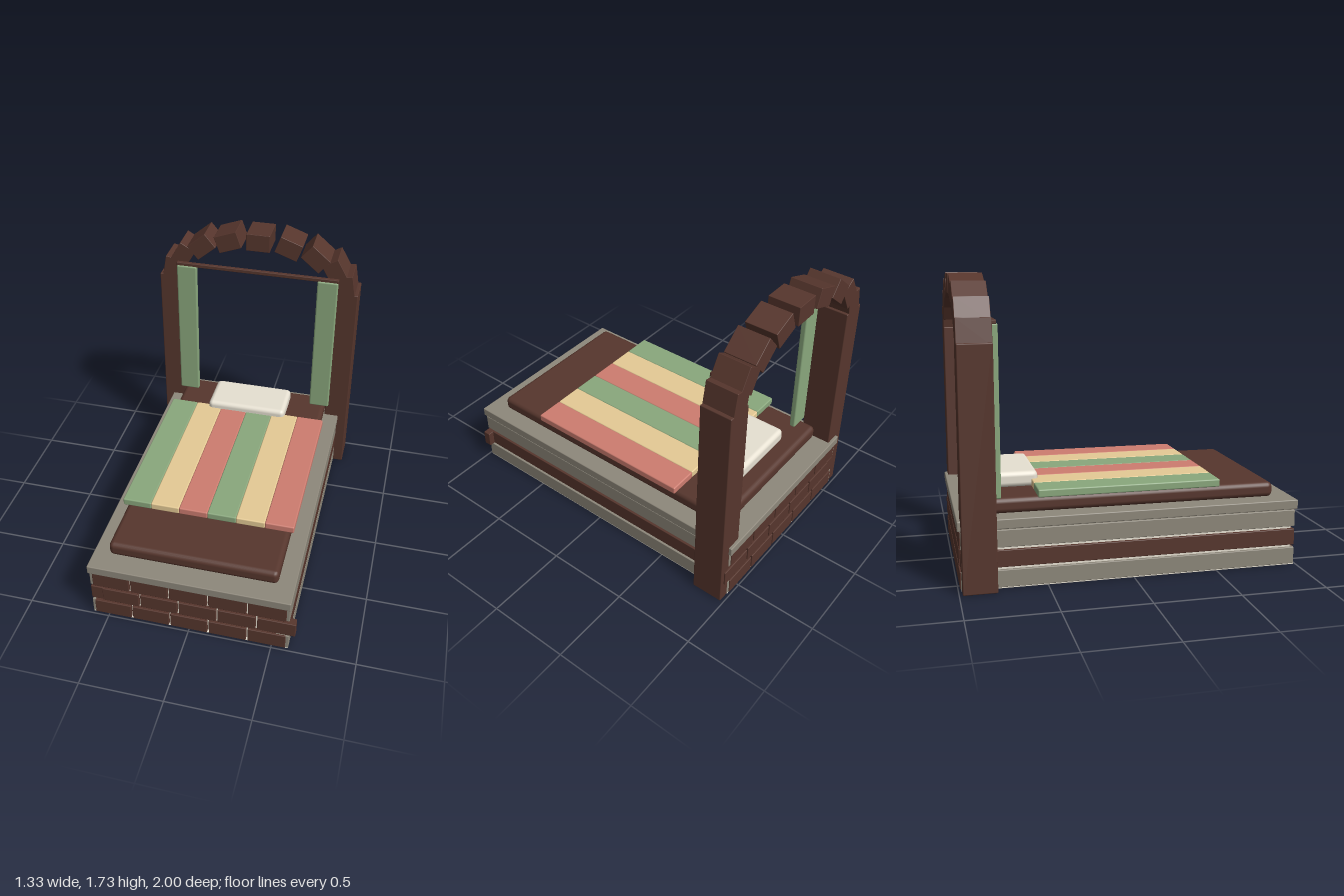
import * as THREE from 'three';
import { RoundedBoxGeometry } from 'three/addons/geometries/RoundedBoxGeometry.js';

const paint = (name, color) => {
  const m = new THREE.MeshStandardMaterial({ color });
  m.name = name;
  return m;
};

export function createModel() {
  const model = new THREE.Group();
  model.name = 'archedBrickBed';

  const brick = paint('brick brown', 0x57362d);
  const stone = paint('stone grey', 0x8e887b);
  const cream = paint('cream', 0xe9e3d4);
  const green = paint('sage green', 0x8aa87d);
  const tan = paint('tan', 0xe6cb95);
  const red = paint('dusty red', 0xce7d70);

  // Softened box given by its minimum and maximum corners
  const block = (name, material, [x0, y0, z0], [x1, y1, z1], radius = 0.006, parent = model) => {
    const geometry = new RoundedBoxGeometry(x1 - x0, y1 - y0, z1 - z0, 2, radius);
    const mesh = new THREE.Mesh(geometry, material);
    mesh.name = name;
    mesh.position.set((x0 + x1) / 2, (y0 + y1) / 2, (z0 + z1) / 2);
    parent.add(mesh);
    return mesh;
  };

  // Base: mortar core, its wider underside and the top slab
  block('mortarCore', cream, [-0.582, 0.002, -0.967], [0.582, 0.35, 0.967], 0.002);
  block('mortarBed', cream, [-0.598, 0.002, -0.984], [0.598, 0.01, 0.984], 0.002);
  block('topSlab', stone, [-0.605, 0.343, -1], [0.605, 0.4, 1]);

  // Three courses: long bars on the sides, staggered bricks at front and back
  const courses = [[0.008, 0.108, stone, 0], [0.124, 0.222, brick, 0.055], [0.238, 0.338, stone, 0]];
  for (const [y0, y1, sideMaterial, shift] of courses) {
    const course = new THREE.Group();
    course.name = 'brickCourse';
    model.add(course);
    for (const s of [-1, 1]) {
      block('sideCourse', sideMaterial, [s * 0.56 - 0.04, y0, -0.984], [s * 0.56 + 0.04, y1, 0.984], 0.004, course);
      for (let i = -2; i <= 2; i++) {
        const x = i * 0.235 + shift;
        block('wallBrick', brick, [x - 0.112, y0, s * 0.965 - 0.025], [x + 0.112, y1, s * 0.965 + 0.025], 0.004, course);
      }
    }
  }

  // Bedding
  block('mattress', brick, [-0.507, 0.4, -0.88], [0.507, 0.49, 0.88], 0.03);
  const stripes = [green, tan, red];
  for (let i = 0; i < 6; i++) {
    const x = -0.53 + i * 0.1767;
    block('blanketStripe', stripes[i % 3], [x, 0.488, -0.54], [x + 0.1767, 0.534, 0.535], 0.008);
  }
  block('pillow', cream, [-0.265, 0.487, -0.785], [0.265, 0.58, -0.5], 0.03);

  // Posts and curtains
  for (const s of [-1, 1]) {
    block(s > 0 ? 'leftPost' : 'rightPost', brick, [s * 0.587 - 0.077, 0, -0.981], [s * 0.587 + 0.077, 1.373, -0.788]);
    block(s > 0 ? 'leftCurtain' : 'rightCurtain', green, [s * 0.468 - 0.067, 0.495, -0.785], [s * 0.468 + 0.067, 1.467, -0.747], 0.01);
  }
  block('curtainRod', brick, [-0.537, 1.462, -0.782], [0.537, 1.486, -0.755], 0.004);

  // Arch: tilted bricks spaced along half an ellipse
  const arch = new THREE.Group();
  arch.name = 'arch';
  model.add(arch);
  for (let i = -4; i <= 4; i++) {
    const angle = THREE.MathUtils.degToRad(i * 20);
    const voussoir = block('archBrick', brick, [-0.0775, -0.0575, -0.981], [0.0775, 0.0575, -0.788], 0.003, arch);
    voussoir.position.x = 0.585 * Math.sin(angle);
    voussoir.position.y = 1.367 + 0.3 * Math.cos(angle);
    voussoir.rotation.z = -angle;
  }

  return model;
}
